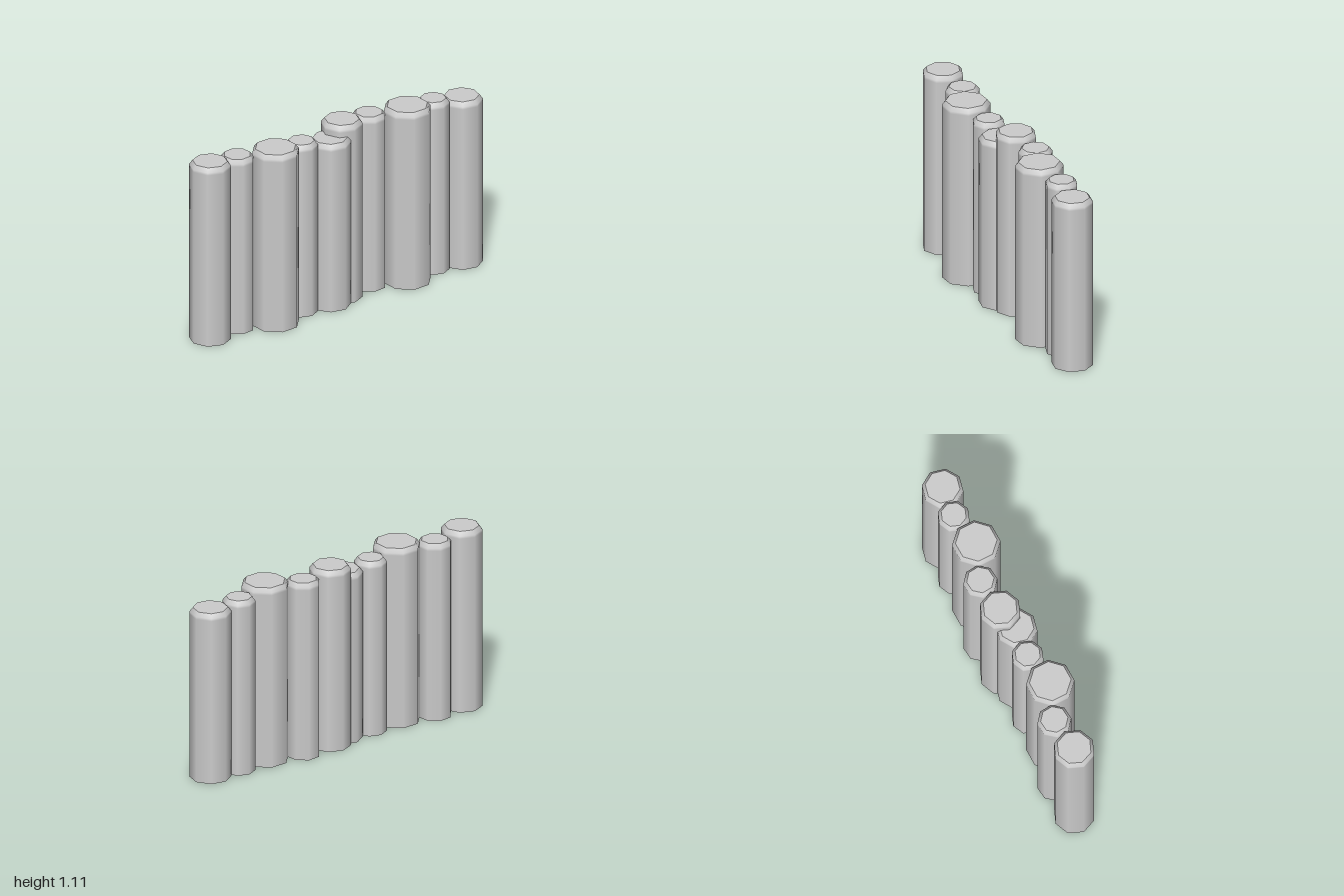
import * as THREE from 'three';

const SIDES = 8;
const BEVEL = 0.024;

// One post of the palisade: x, z, radius, height, turn
const POSTS = [
  [-0.88, -0.037, 0.119, 1.108, 0.02],
  [-0.67, -0.058, 0.098, 1.083, 0.5],
  [-0.458, 0.022, 0.138, 1.098, 0.42],
  [-0.245, -0.015, 0.093, 1.067, 0.05],
  [-0.058, 0.008, 0.119, 1.04, 0.18],
];

export function createModel() {
  const model = new THREE.Group();
  model.name = 'palisade';
  const material = new THREE.MeshStandardMaterial({ color: 0xcccccc, side: THREE.DoubleSide });

  function makePost([x, z, radius, height, turn]) {
    const post = new THREE.Group();
    post.name = 'post';

    // Smooth-shaded wall, open underneath, with a bevelled top edge
    const wall = new THREE.Mesh(new THREE.LatheGeometry([
      new THREE.Vector2(radius, 0),
      new THREE.Vector2(radius, height - BEVEL - 0.015),
      new THREE.Vector2(radius, height - BEVEL),
      new THREE.Vector2(radius - BEVEL * 0.8, height),
    ], SIDES), material);
    wall.name = 'postWall';

    // Flat cut end
    const cap = new THREE.Mesh(new THREE.CircleGeometry(radius - BEVEL * 0.8, SIDES), material);
    cap.name = 'postTop';
    cap.rotation.x = -Math.PI / 2;
    cap.position.y = height;

    post.add(wall, cap);
    post.position.set(x, 0, z);
    post.rotation.y = turn;
    return post;
  }

  // Two identical sections side by side
  ['rightSection', 'leftSection'].forEach((name, i) => {
    const section = new THREE.Group();
    section.name = name;
    section.position.x = i * 0.94;
    POSTS.forEach((p) => section.add(makePost(p)));
    model.add(section);
  });
  return model;
}
